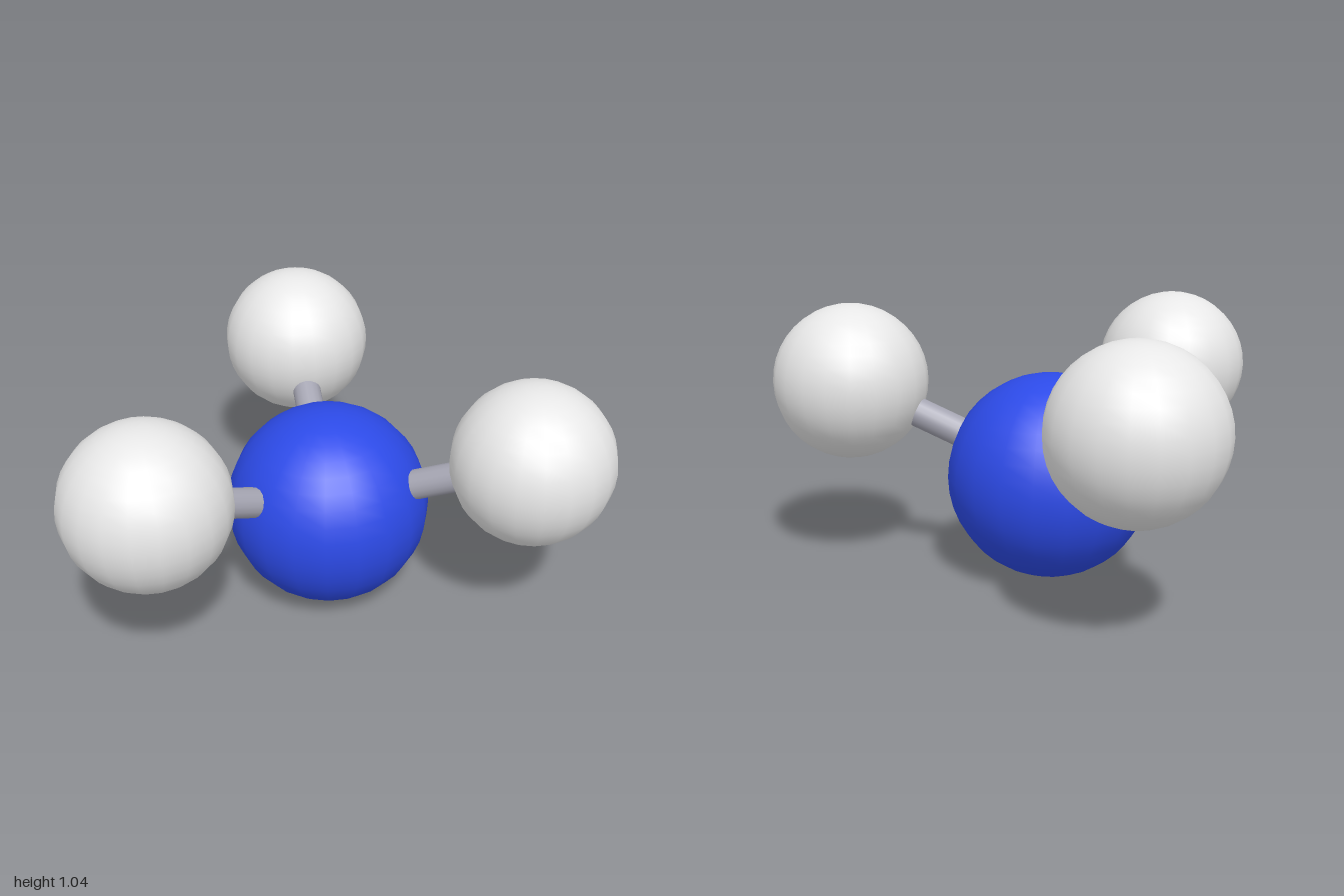
import * as THREE from 'three';

const mat = (name, color) => new THREE.MeshStandardMaterial({ name, color });

export function createModel() {
  const blue = mat('blue', 0x3050f8);
  const paleGrey = mat('paleGrey', 0xe8e8e8);
  const boltGrey = mat('rodGrey', 0xa6a6b3);

  const model = new THREE.Group();
  model.name = 'molecule';

  const add = (geometry, material, name, position) => {
    const mesh = new THREE.Mesh(geometry, material);
    mesh.name = name;
    mesh.position.copy(position);
    model.add(mesh);
    return mesh;
  };

  // Large central ball
  const centre = new THREE.Vector3(-0.195, 0.398, 0.005);
  add(new THREE.SphereGeometry(0.396, 20, 20), blue, 'centralAtom', centre);

  // Three smaller balls, each joined to the centre by a thin rod
  const outerBall = new THREE.SphereGeometry(0.305, 20, 20);
  const up = new THREE.Vector3(0, 1, 0);
  const outer = {
    left: new THREE.Vector3(0.605, 0.735, 0.022),
    rightBack: new THREE.Vector3(-0.58, 0.735, -0.695),
    rightFront: new THREE.Vector3(-0.61, 0.735, 0.693),
  };
  for (const [side, end] of Object.entries(outer)) {
    add(outerBall, paleGrey, `${side}Atom`, end);
    const direction = end.clone().sub(centre);
    const rod = add(
      new THREE.CylinderGeometry(0.058, 0.058, direction.length(), 16),
      boltGrey,
      `${side}Bond`,
      centre.clone().add(end).multiplyScalar(0.5),
    );
    rod.quaternion.setFromUnitVectors(up, direction.normalize());
  }
  return model;
}
